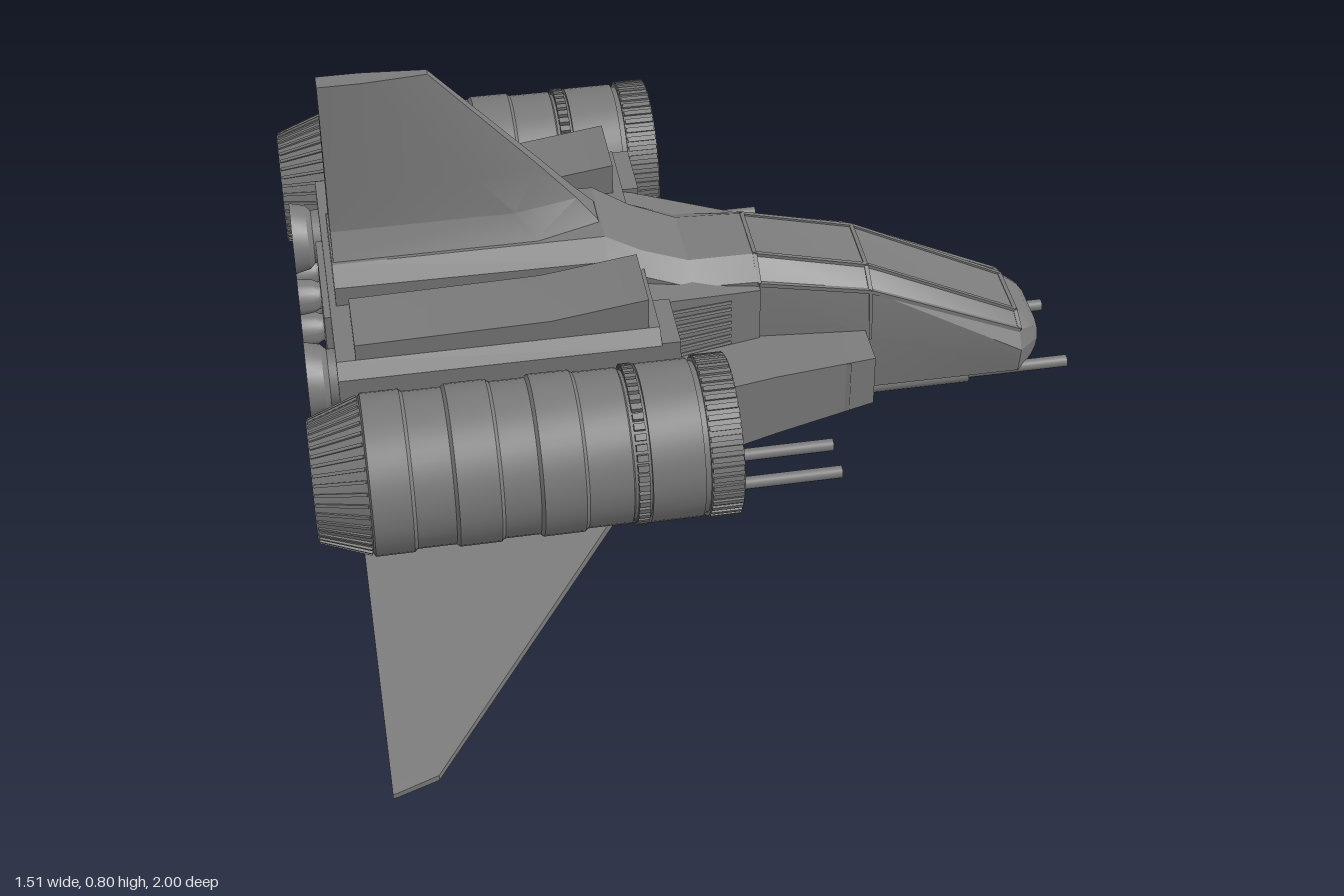
import * as THREE from 'three';
import { mergeGeometries, toCreasedNormals } from 'three/addons/utils/BufferGeometryUtils.js';

const mat = new THREE.MeshStandardMaterial({ color: 0x7a7a7a, side: THREE.DoubleSide });

function add(parent, name, geometry) {
  const mesh = new THREE.Mesh(geometry, mat);
  mesh.name = name;
  parent.add(mesh);
}

// Skin through rings of [x, y, z] points, counter-clockwise seen from the last ring.
// side = -1 mirrors the result in z.
function loft(rings, side = 1, capEnd = true) {
  const pos = [];
  const tri = (a, b, c) => {
    for (const p of side > 0 ? [a, b, c] : [a, c, b]) pos.push(p[0], p[1], p[2] * side);
  };
  const n = rings[0].length, last = rings[rings.length - 1];
  for (let i = 0; i < rings.length - 1; i++) {
    for (let j = 0; j < n; j++) {
      const k = (j + 1) % n, a = rings[i], b = rings[i + 1];
      tri(a[j], a[k], b[k]);
      tri(a[j], b[k], b[j]);
    }
  }
  for (let j = 1; j < n - 1; j++) {
    tri(rings[0][0], rings[0][j + 1], rings[0][j]);
    if (capEnd) tri(last[0], last[j], last[j + 1]);
  }
  const g = new THREE.BufferGeometry();
  g.setAttribute('position', new THREE.Float32BufferAttribute(pos, 3));
  return toCreasedNormals(g, 0.35);
}

// Symmetric ring at x from half-outline points [z, y], top to bottom
const hullRing = (x, half) => [
  ...half.map(([z, y]) => [x, y, z]),
  ...half.slice().reverse().map(([z, y]) => [x, y, -z]),
];
// Rectangular ring at x
const boxRing = (x, z0, z1, y0, y1) => [[x, y1, z0], [x, y1, z1], [x, y0, z1], [x, y0, z0]];

function box(x0, x1, y0, y1, z0, z1) {
  return new THREE.BoxGeometry(x1 - x0, y1 - y0, Math.abs(z1 - z0))
    .translate((x0 + x1) / 2, (y0 + y1) / 2, (z0 + z1) / 2);
}

// Lathe around the x axis, profile points are [x, radius]
function latheX(profile, seg = 40) {
  const pts = profile.map(([x, r]) => new THREE.Vector2(r, x));
  return toCreasedNormals(new THREE.LatheGeometry(pts, seg).rotateZ(-Math.PI / 2), 0.5);
}

const rod = (x0, x1, y, z, r) =>
  new THREE.CylinderGeometry(r, r, x1 - x0, 14).rotateZ(-Math.PI / 2).translate((x0 + x1) / 2, y, z);

function beam(a, b, r) {
  const p = new THREE.Vector3(...a), d = new THREE.Vector3(...b).sub(p);
  const q = new THREE.Quaternion().setFromUnitVectors(new THREE.Vector3(0, 1, 0), d.clone().normalize());
  return new THREE.BoxGeometry(r * 2, d.length(), r * 2)
    .applyQuaternion(q).translate(...p.addScaledVector(d, 0.5).toArray());
}

// Copies of a geometry turned evenly around the x axis
function around(count, make) {
  return mergeGeometries(Array.from({ length: count }, (_, i) => make().rotateX((i / count) * Math.PI * 2)));
}

function engine() {
  const g = new THREE.Group();
  g.name = 'engine';
  const profile = [[-0.6, 0.002], [-0.6, 0.085], [-0.755, 0.1], [-0.755, 0.107], [-0.66, 0.14]];
  const bands = [-0.66, -0.585, -0.51, -0.43, -0.36, -0.28, -0.195];
  for (let i = 0; i < bands.length - 1; i++) {
    const r = i % 2 ? 0.141 : 0.146;
    profile.push([bands[i] + 0.003, r], [bands[i + 1] - 0.003, r]);
  }
  profile.push([-0.195, 0.135], [-0.165, 0.135], [-0.165, 0.144], [-0.07, 0.144], [-0.07, 0.138],
    [-0.06, 0.138], [-0.06, 0.144], [0, 0.144], [0, 0.134], [-0.06, 0.126], [-0.06, 0.002]);
  add(g, 'engineCasing', latheX(profile, 48));
  add(g, 'frontTeeth', around(48, () => box(-0.058, -0.002, 0.14, 0.148, -0.005, 0.005)));
  add(g, 'collarTeeth', around(48, () => box(-0.19, -0.17, 0.13, 0.146, -0.006, 0.006)));
  add(g, 'nozzleRibs', around(40, () => beam([-0.752, 0.108, 0], [-0.662, 0.1405, 0], 0.003)));
  add(g, 'fanBlades', around(36, () =>
    new THREE.BoxGeometry(0.024, 0.096, 0.003).rotateY(0.8).translate(-0.052, 0.078, 0)));
  add(g, 'spinner', new THREE.SphereGeometry(0.038, 20, 14).translate(-0.018, 0, 0));
  add(g, 'spinnerShaft', rod(-0.06, -0.018, 0, 0, 0.036));
  return g;
}

function exhaust(r) {
  return latheX([[-0.68, r * 0.75], [-0.705, r * 0.75], [-0.715, r * 0.9], [-0.745, r],
    [-0.745, r * 0.86], [-0.695, r * 0.6], [-0.695, 0.002]], 24);
}

export function createModel() {
  const ship = new THREE.Group();
  ship.name = 'spaceship';

  // Wide rear hull and the spine along its top
  const rearHalf = [[0, 0.385], [0.285, 0.385], [0.31, 0.36], [0.31, 0.05], [0, 0.05]];
  add(ship, 'rearHull', loft([hullRing(-0.69, rearHalf), hullRing(-0.1, rearHalf)]));
  const spine = (x, top, w, h, d) => hullRing(x, [[0, top], [w, top], [d, h], [d, 0.3], [0, 0.3]]);
  add(ship, 'spine', loft([spine(-0.678, 0.45, 0.08, 0.425, 0.12), spine(-0.17, 0.45, 0.08, 0.42, 0.12),
    spine(-0.1, 0.405, 0.075, 0.375, 0.12), spine(-0.01, 0.366, 0.07, 0.338, 0.12),
    spine(0.12, 0.362, 0.066, 0.33, 0.115)]));

  // Cockpit and nose
  const sections = [
    [-0.12, [[0, 0.365], [0.07, 0.365], [0.12, 0.33], [0.125, 0.2], [0.12, 0.05], [0, 0.05]]],
    [0.12, [[0, 0.36], [0.065, 0.36], [0.115, 0.325], [0.125, 0.19], [0.12, 0.05], [0, 0.05]]],
    [0.34, [[0, 0.304], [0.065, 0.304], [0.11, 0.275], [0.125, 0.17], [0.12, 0.045], [0, 0.045]]],
    [0.65, [[0, 0.148], [0.06, 0.148], [0.1, 0.13], [0.122, 0.095], [0.11, 0.035], [0, 0.035]]],
    [0.685, [[0, 0.126], [0.05, 0.126], [0.075, 0.115], [0.085, 0.085], [0.075, 0.04], [0, 0.04]]],
    [0.697, [[0, 0.11], [0.045, 0.11], [0.065, 0.102], [0.072, 0.08], [0.065, 0.055], [0, 0.055]]],
  ];
  add(ship, 'cockpitHull', loft(sections.map(([x, h]) => hullRing(x, h))));
  const bars = [];
  const pt = (i, j, s) => [sections[i][0], sections[i][1][j][1], sections[i][1][j][0] * s];
  for (const s of [1, -1]) {
    for (const i of [1, 2]) for (const j of [1, 2]) bars.push(beam(pt(i, j, s), pt(i + 1, j, s), 0.004));
    for (const i of [1, 2, 3]) for (const j of [0, 1]) bars.push(beam(pt(i, j, s), pt(i, j + 1, s), 0.004));
    bars.push(beam(pt(2, 2, s), pt(2, 3, s), 0.003));
  }
  add(ship, 'canopyFrame', mergeGeometries(bars));

  // Belly pod
  const belly = (x, w, y) => hullRing(x, [[0, 0.06], [w, 0.06], [w, y + 0.015], [w - 0.02, y], [0, y]]);
  add(ship, 'bellyPod', loft([belly(-0.29, 0.09, 0.03), belly(-0.27, 0.11, 0.012),
    belly(0.32, 0.11, 0.01), belly(0.62, 0.1, 0.012), belly(0.66, 0.08, 0.025)]));

  // Tail fin with flared root, as level slices
  const finRing = (y, front, w, nose) => [[-0.675, y, w], [front - 0.12, y, w], [front, y, nose],
    [front, y, -nose], [front - 0.12, y, -w], [-0.675, y, -w]];
  add(ship, 'tailFin', loft([finRing(0.42, -0.165, 0.09, 0.05), finRing(0.455, -0.175, 0.07, 0.03),
    finRing(0.5, -0.212, 0.046, 0.018), finRing(0.58, -0.28, 0.036, 0.014), finRing(0.8, -0.475, 0.018, 0.008)]));

  // Rear hatch
  add(ship, 'rearHatch', box(-0.702, -0.68, 0.13, 0.36, -0.12, 0.12));

  for (const s of [1, -1]) {
    const half = new THREE.Group();
    half.name = s > 0 ? 'nearSide' : 'farSide';
    ship.add(half);

    // Swept, drooping wing
    const wingRing = (z, front, y, t) =>
      [[-0.675, y - t, z], [front, y - t, z], [front, y + t, z], [-0.675, y + t, z]];
    add(half, 'wing', loft([wingRing(0.28, -0.08, 0.115, 0.01), wingRing(0.975, -0.595, 0.026, 0.006),
      wingRing(1, -0.67, 0.023, 0.005)], s));

    // Engine pod and its pylon
    const pod = engine();
    pod.position.set(0, 0.26, 0.455 * s);
    half.add(pod);
    add(half, 'enginePylon', box(-0.6, -0.2, 0.2, 0.32, 0.3 * s, 0.34 * s));

    // Side strake with a slatted intake mouth
    add(half, 'strake', loft([boxRing(-0.11, 0.1, 0.31, 0.05, 0.22), boxRing(0.13, 0.1, 0.25, 0.065, 0.205),
      boxRing(0.33, 0.1, 0.21, 0.08, 0.19)], s, false));
    add(half, 'strakeIntakeWall', box(0.27, 0.28, 0.077, 0.193, 0.11 * s, 0.222 * s));
    add(half, 'strakeSlats', mergeGeometries([0.14, 0.152, 0.164, 0.176, 0.188, 0.2].map(z =>
      box(0.28, 0.32, 0.082, 0.189, (z - 0.003) * s, (z + 0.003) * s))));

    // Louvred shoulder fairing between cockpit and intake
    add(half, 'shoulderFairing', loft([boxRing(-0.1, 0.1, 0.185, 0.2, 0.36),
      boxRing(0.12, 0.1, 0.128, 0.18, 0.32)], s));
    add(half, 'shoulderLouvres', mergeGeometries(Array.from({ length: 7 }, (_, i) =>
      beam([-0.095, 0.222 + i * 0.018, 0.184 * s], [0.06, 0.216 + i * 0.016, 0.144 * s], 0.003))));

    // Main intake: frame and slats
    add(half, 'intakeSlats', mergeGeometries(Array.from({ length: 10 }, (_, i) =>
      new THREE.BoxGeometry(0.04, 0.004, 0.12).rotateZ(-0.5).rotateX(0.15 * s)
        .translate(-0.085, 0.222 + i * 0.0125, 0.24 * s))));
    add(half, 'intakeFrame', mergeGeometries([
      box(-0.1, -0.065, 0.345, 0.365, 0.18 * s, 0.31 * s),
      box(-0.1, -0.065, 0.2, 0.36, 0.298 * s, 0.31 * s)]));

    // Long raised housing on top with a vented front
    add(half, 'dorsalHousing', loft([boxRing(-0.655, 0.145, 0.285, 0.37, 0.418),
      boxRing(-0.3, 0.145, 0.285, 0.37, 0.425), boxRing(-0.12, 0.145, 0.285, 0.38, 0.45)], s, false));
    add(half, 'dorsalVentWall', box(-0.17, -0.16, 0.375, 0.44, 0.147 * s, 0.283 * s));
    add(half, 'dorsalVentSlats', mergeGeometries([0.4, 0.412, 0.424, 0.436].map(y =>
      box(-0.16, -0.125, y - 0.003, y + 0.003, 0.155 * s, 0.275 * s))));

    // Rear exhausts: one large, four small
    add(half, 'mainExhaust', exhaust(0.07).translate(0, 0.3, 0.22 * s));
    for (const y of [0.105, 0.185]) {
      for (const z of [0.18, 0.262]) add(half, 'smallExhaust', exhaust(0.036).translate(0, y, z * s));
    }

    // Guns below the wing roots
    for (const z of [0.34, 0.418]) {
      add(half, 'wingGunBarrel', rod(-0.2, 0.22, 0.1, z * s, 0.012));
      add(half, 'wingGunHousing', rod(-0.64, -0.18, 0.095, z * s, 0.017));
    }

    // Guns below the nose
    add(half, 'noseGunBarrel', rod(0.5, 0.755, 0.03, 0.092 * s, 0.012));
    add(half, 'noseGunBody', rod(0.12, 0.55, 0.03, 0.092 * s, 0.02));
    add(half, 'noseGunHousing', rod(-0.09, 0.13, 0.027, 0.092 * s, 0.027));
    add(half, 'noseGunTail', rod(-0.27, -0.09, 0.03, 0.092 * s, 0.018));
  }
  return ship;
}
